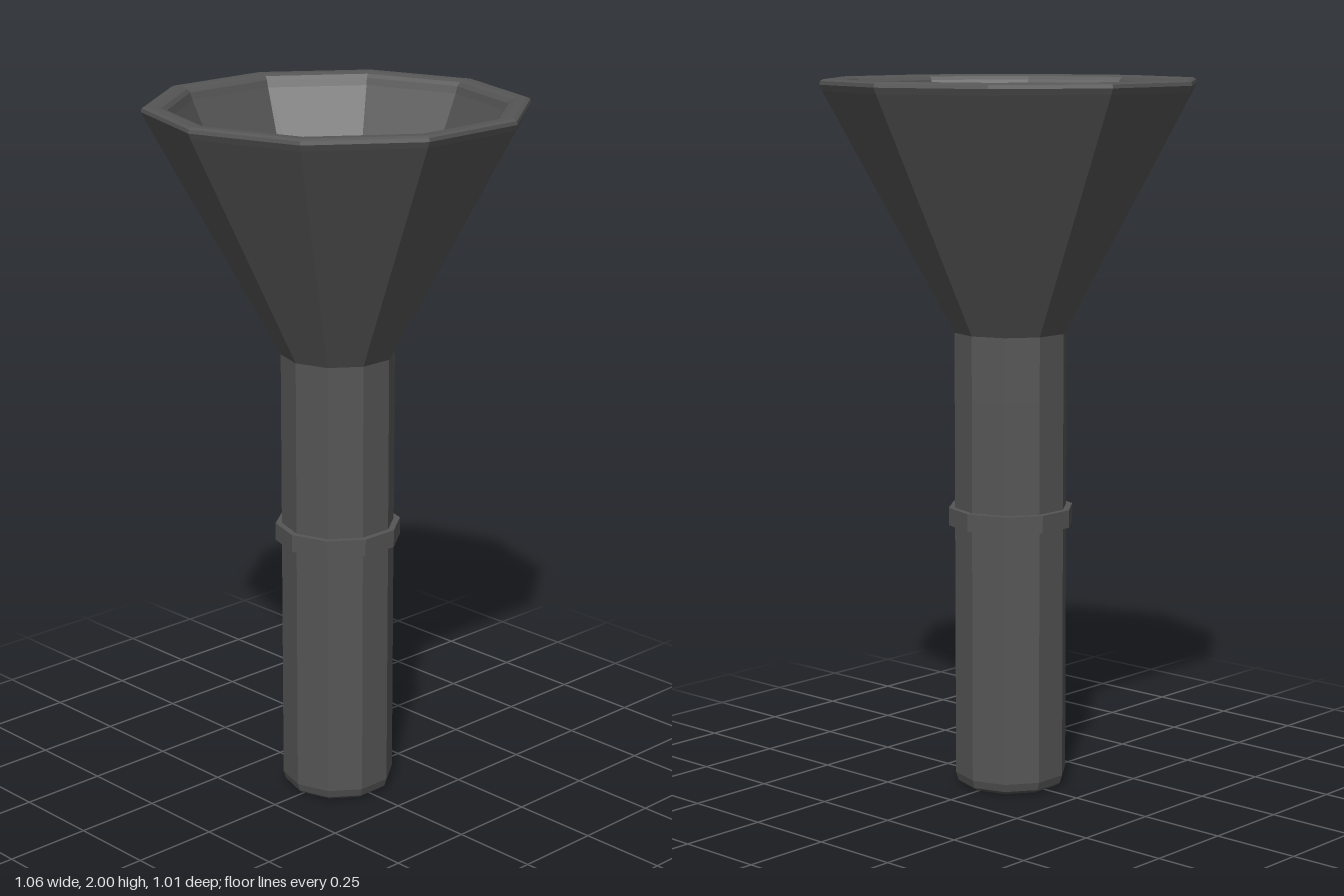
import * as THREE from 'three';

const SIDES = 10;

// Ten-sided turned part with a corner on the x axis; profile pairs are [radius, height]
function turned(name, profile, material) {
  const points = profile.map(([r, y]) => new THREE.Vector2(r, y));
  const geometry = new THREE.LatheGeometry(points, SIDES, Math.PI / 2);
  const mesh = new THREE.Mesh(geometry, material);
  mesh.name = name;
  return mesh;
}

export function createModel() {
  const group = new THREE.Group();
  group.name = 'funnel';
  const dark = new THREE.MeshStandardMaterial({
    color: 0x555555, flatShading: true, side: THREE.DoubleSide,
  });

  // Hollow stem with an inward lip and rounded foot
  group.add(turned('stem', [
    [0.155, 1.3], [0.155, 0.04], [0.145, 0.022], [0.125, 0.016], [0.113, 0.02],
    [0.113, 0.008], [0.125, 0], [0.14, 0.002], [0.153, 0.012], [0.16, 0.035],
    [0.16, 1.12], [0.16, 1.3],
  ], dark));

  // Flared cone with a thick rounded rim
  group.add(turned('cone', [
    [0.16, 1.3], [0.522, 1.968], [0.53, 1.985], [0.528, 1.995], [0.518, 2],
    [0.492, 2], [0.475, 1.995], [0.465, 1.985], [0.458, 1.965], [0.155, 1.3],
  ], dark));

  // Raised collar around the stem
  group.add(turned('collar', [
    [0.158, 0.755], [0.178, 0.755], [0.178, 0.805], [0.158, 0.805],
  ], dark));

  return group;
}
